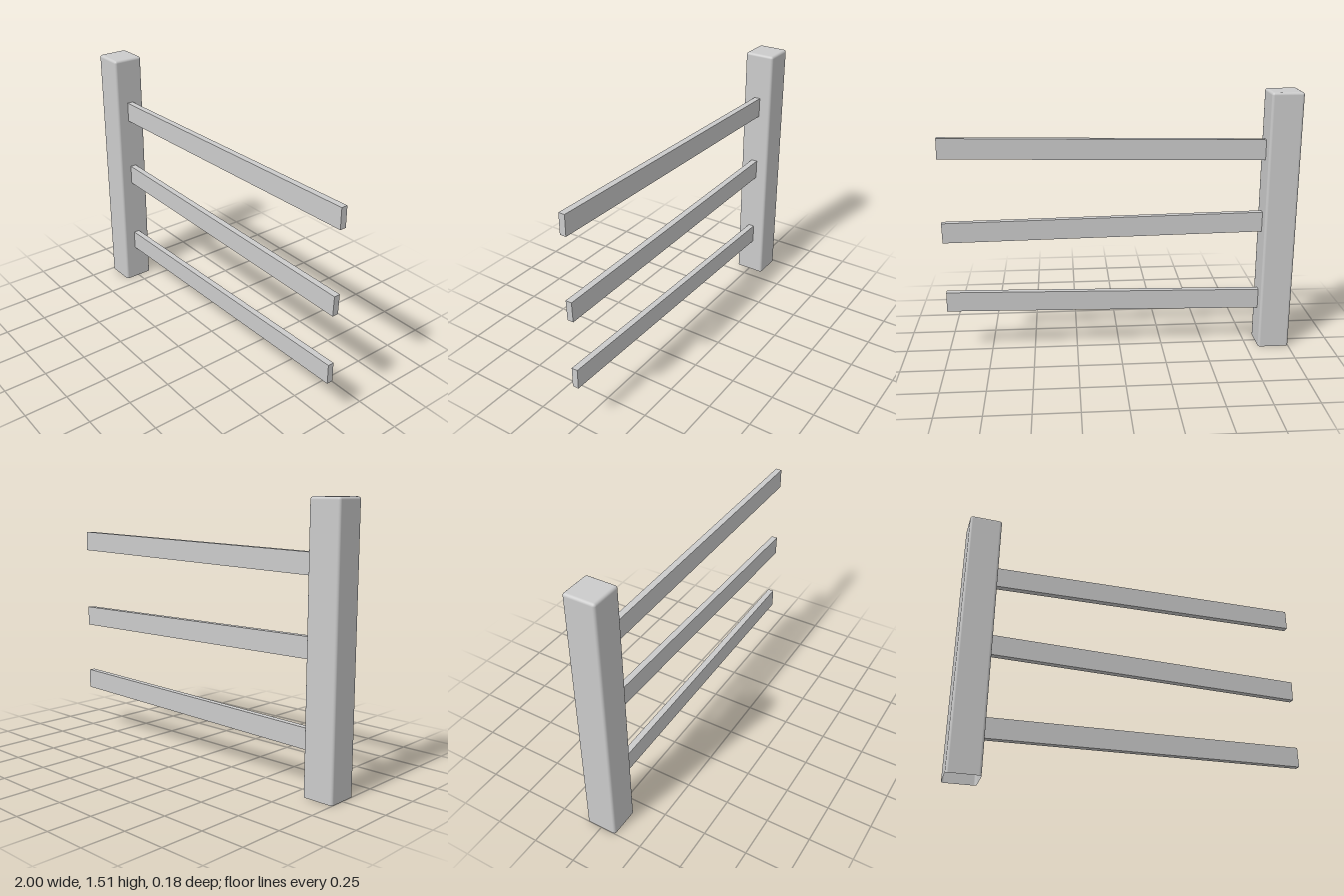
import * as THREE from 'three';
import { RoundedBoxGeometry } from 'three/addons/geometries/RoundedBoxGeometry.js';

const POST = { width: 0.18, height: 1.51, radius: 0.015 };
const RAIL = { height: 0.116, depth: 0.036, startX: -0.825, endX: 0.998 };

// Rounded post shell, open at the foot: the lower rounding sits below ground and is removed
function postGeometry() {
  const { width, height, radius } = POST;
  const geo = new RoundedBoxGeometry(width, height + radius, width, 3, radius);
  geo.translate(0, (height - radius) / 2, 0);
  const pos = geo.attributes.position;
  const keep = [];
  for (let i = 0; i < pos.count; i += 3) {
    const middle = (pos.getY(i) + pos.getY(i + 1) + pos.getY(i + 2)) / 3;
    if (middle > 1e-4) keep.push(i, i + 1, i + 2);
  }
  geo.setIndex(keep);
  geo.clearGroups();
  return geo;
}

// Straight plank running from the post to its free end, tilted between two heights
function makeRail(name, startY, endY, material) {
  const dx = RAIL.endX - RAIL.startX;
  const dy = endY - startY;
  const rail = new THREE.Mesh(
    new THREE.BoxGeometry(Math.hypot(dx, dy), RAIL.height, RAIL.depth), material);
  rail.name = name;
  rail.position.set((RAIL.startX + RAIL.endX) / 2, (startY + endY) / 2, 0);
  rail.rotation.z = Math.atan2(dy, dx);
  return rail;
}

export function createModel() {
  const group = new THREE.Group();
  group.name = 'fenceSection';
  const railMaterial = new THREE.MeshStandardMaterial({ color: 0xcccccc });
  const postMaterial = new THREE.MeshStandardMaterial({ color: 0xcccccc, side: THREE.DoubleSide });

  const post = new THREE.Mesh(postGeometry(), postMaterial);
  post.name = 'post';
  post.position.x = -1 + POST.width / 2;
  group.add(post);

  // Rails: name, centre height at the post, centre height at the free end
  const rails = [
    ['topRail', 1.179, 1.215],
    ['middleRail', 0.757, 0.731],
    ['bottomRail', 0.28, 0.314],
  ];
  for (const [name, startY, endY] of rails) {
    group.add(makeRail(name, startY, endY, railMaterial));
  }
  return group;
}
